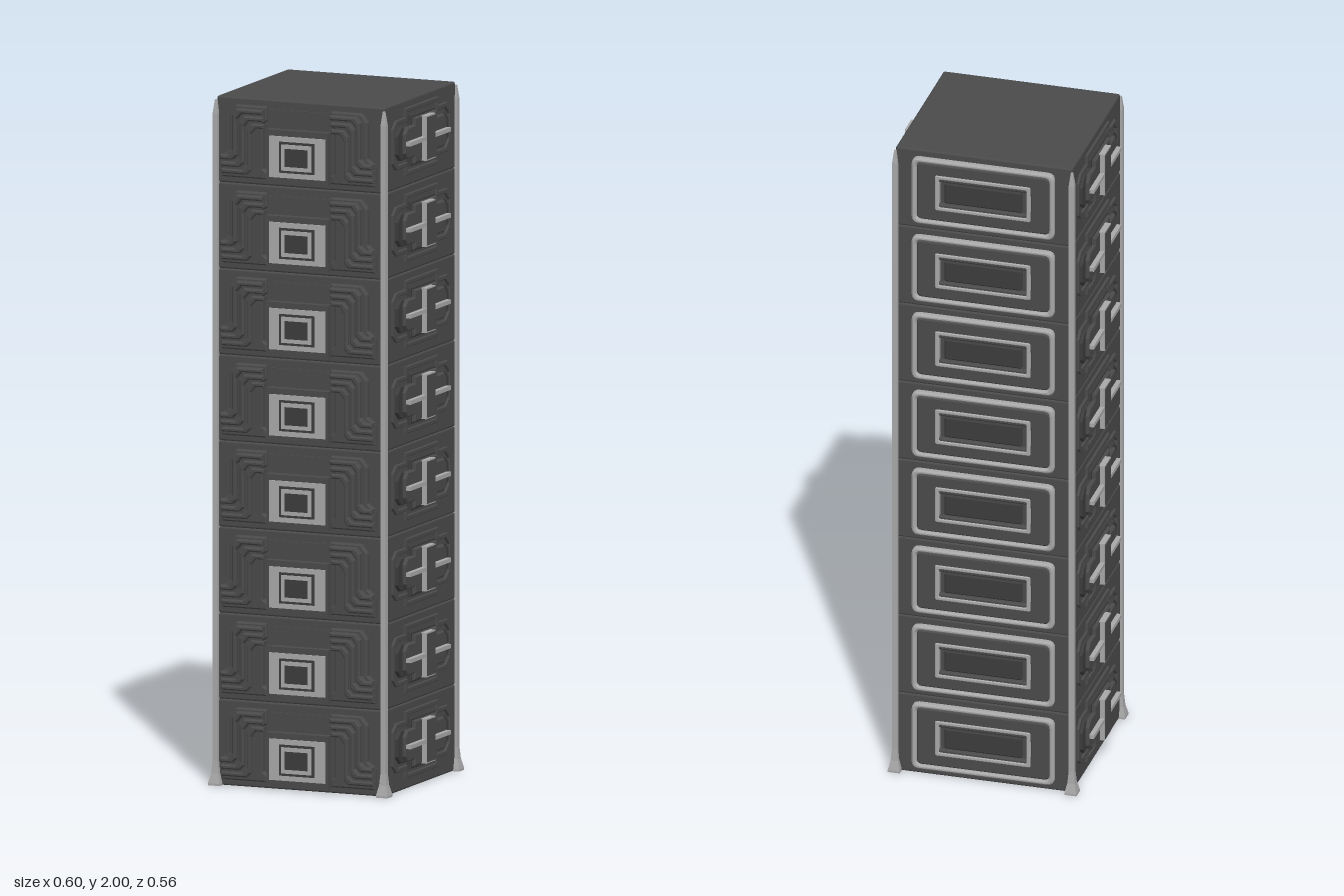
import * as THREE from 'three';
import { RoundedBoxGeometry } from 'three/addons/geometries/RoundedBoxGeometry.js';

const dark = new THREE.MeshStandardMaterial({ color: 0x4a4a4a });
const deep = new THREE.MeshStandardMaterial({ color: 0x3c3c3c });
const light = new THREE.MeshStandardMaterial({ color: 0xa8a8a8 });
const post = new THREE.MeshStandardMaterial({ color: 0xa8a8a8, flatShading: true });

const STOREYS = 8, H = 0.25, HALF_X = 0.263, FRONT = 0.24, BACK = -0.26;
const MID_Z = (FRONT + BACK) / 2;

function add(parent, name, geometry, material) {
  const mesh = new THREE.Mesh(geometry, material);
  mesh.name = name;
  parent.add(mesh);
  return mesh;
}

// Box centred on x, y whose back is at z0 and front at z1
function block(parent, name, x, y, w, h, z0, z1, material) {
  add(parent, name, new THREE.BoxGeometry(w, h, z1 - z0), material).position.set(x, y, (z0 + z1) / 2);
}

// Outline standing proud of a wall up to depth z1, with a chamfered edge
function slab(parent, name, shape, z1, material, bevel = 0.004) {
  const geometry = new THREE.ExtrudeGeometry(shape, {
    depth: z1 - bevel, bevelThickness: bevel, bevelSize: bevel, bevelOffset: -bevel, bevelSegments: 1, curveSegments: 4,
  });
  return add(parent, name, geometry, material);
}

const outline = (points) => new THREE.Shape(points.map(([x, y]) => new THREE.Vector2(x, y)));

// Rounded rectangle about (0, y)
function roundRect(target, w, h, r, y) {
  const a = w / 2, b = h / 2;
  target.moveTo(-a + r, y - b).lineTo(a - r, y - b).quadraticCurveTo(a, y - b, a, y - b + r)
    .lineTo(a, y + b - r).quadraticCurveTo(a, y + b, a - r, y + b)
    .lineTo(-a + r, y + b).quadraticCurveTo(-a, y + b, -a, y + b - r)
    .lineTo(-a, y - b + r).quadraticCurveTo(-a, y - b, -a + r, y - b);
  return target;
}

function frame(w, h, t, r, y) {
  const shape = roundRect(new THREE.Shape(), w, h, r, y);
  shape.holes.push(roundRect(new THREE.Path(), w - 2 * t, h - 2 * t, r * 0.7, y));
  return shape;
}

// Stepped cross from the points of one quadrant, mirrored about (0, y)
function steppedCross(quadrant, y, inset = 0) {
  const q = quadrant.map(([a, b]) => [a - inset, b - inset]);
  const r = [...q].reverse();
  return outline([
    ...q, ...r.map(([a, b]) => [-a, b]), ...q.map(([a, b]) => [-a, -b]), ...r.map(([a, b]) => [a, -b]),
  ].map(([a, b]) => [a, b + y]));
}

function frontWall() {
  const wall = new THREE.Group();
  wall.name = 'frontWall';
  // Central panel with nested window frames
  block(wall, 'windowPanel', 0, 0.09, 0.192, 0.155, 0, 0.022, dark);
  block(wall, 'lintel', 0, 0.205, 0.2, 0.035, 0, 0.004, dark);
  [['windowSurround', 0.176, 0.12, light], ['windowGroove', 0.11, 0.09, deep],
    ['windowRim', 0.094, 0.076, light], ['windowPane', 0.072, 0.052, deep]]
    .forEach(([name, w, h, material], i) => block(wall, name, 0, 0.09, w, h, 0, 0.026 + i * 0.0025, material));

  // Stepped brackets on both sides, each with three bent ribs
  for (const s of [-1, 1]) {
    const mirror = (points) => outline(points.map(([x, y]) => [s * x, y]));
    slab(wall, 'bracketPlate', mirror([[0.1, 0.02], [0.24, 0.02], [0.24, 0.08], [0.215, 0.1],
      [0.215, 0.205], [0.195, 0.23], [0.1, 0.23], [0.1, 0.19], [0.112, 0.18], [0.112, 0.05], [0.1, 0.04]]), 0.016, dark);
    for (let i = 0; i < 3; i++) {
      const d = 0.021 * i, w = 0.013;
      const path = [[0.105, 0.222 - d], [0.186 - d, 0.222 - d], [0.2 - d, 0.205 - d],
        [0.2 - d, 0.1 - d], [0.214 - d, 0.086 - d], [0.238, 0.086 - d]];
      const back = path.map(([x, y], k) => [k === 0 || k === 5 ? x : x - w, y - w]).reverse();
      slab(wall, 'bracketRib', mirror([...path, ...back]), 0.036 - 0.005 * i, dark);
    }
  }
  return wall;
}

function sideWall() {
  const wall = new THREE.Group();
  wall.name = 'sideWall';
  const y = 0.13;
  const outer = [[0.205, 0.05], [0.18, 0.072], [0.115, 0.072], [0.115, 0.098]];
  const inner = [[0.147, 0.028], [0.13, 0.046], [0.078, 0.046], [0.078, 0.066]];
  // Raised stepped border around two stacked crosses
  const border = steppedCross(outer, y);
  border.holes.push(new THREE.Path(steppedCross(outer, y, 0.013).getPoints()));
  slab(wall, 'crossBorder', border, 0.007, dark, 0.002);
  slab(wall, 'crossPlate', steppedCross(outer, y, 0.024), 0.01, deep, 0.003);
  slab(wall, 'innerCross', steppedCross(inner, y), 0.02, dark);
  // Crossing bars
  block(wall, 'horizontalBar', 0, y, 0.286, 0.012, 0, 0.034, light);
  block(wall, 'verticalBarRim', 0, y, 0.064, 0.13, 0, 0.034, light);
  block(wall, 'verticalBarFace', 0, y, 0.056, 0.122, 0, 0.036, dark);
  return wall;
}

function backWall() {
  const wall = new THREE.Group();
  wall.name = 'backWall';
  const y = 0.125;
  slab(wall, 'outerFrame', frame(0.424, 0.21, 0.014, 0.022, y), 0.017, light, 0.005);
  slab(wall, 'panelBorder', frame(0.394, 0.18, 0.055, 0.015, y), 0.013, dark);
  slab(wall, 'innerFrame', frame(0.284, 0.112, 0.012, 0.006, y), 0.016, light, 0.003);
  slab(wall, 'innerPanel', roundRect(new THREE.Shape(), 0.23, 0.064, 0.005, y), 0.011, deep);
  return wall;
}

export function createModel() {
  const model = new THREE.Group();
  model.name = 'tower';

  // One storey, repeated upwards
  const storey = new THREE.Group();
  storey.name = 'storey';
  add(storey, 'storeyBody', new RoundedBoxGeometry(2 * HALF_X, H, FRONT - BACK, 2, 0.006), dark)
    .position.set(0, H / 2, MID_Z);
  const front = frontWall();
  front.position.z = FRONT;
  const back = backWall();
  back.position.z = BACK;
  back.rotation.y = Math.PI;
  storey.add(front, back);
  for (const s of [-1, 1]) {
    const side = sideWall();
    side.position.set(s * HALF_X, 0, MID_Z);
    side.rotation.y = s * Math.PI / 2;
    storey.add(side);
  }
  for (let i = 0; i < STOREYS; i++) {
    const copy = storey.clone();
    copy.position.y = i * H;
    model.add(copy);
  }

  // Square corner posts with flared feet and pointed tops
  const profile = [[0, 0], [0.018, 0], [0.018, 0.006], [0.011, 0.035], [0.008, 0.07], [0.008, 1.95], [0.003, 1.99], [0, 1.99]];
  const postGeometry = new THREE.LatheGeometry(profile.map(([r, y]) => new THREE.Vector2(r * Math.SQRT2, y)), 4);
  postGeometry.rotateY(Math.PI / 4);
  for (const x of [-HALF_X, HALF_X]) {
    for (const z of [FRONT + 0.003, BACK - 0.002]) {
      add(model, 'cornerPost', postGeometry, post).position.set(x, 0, z);
    }
  }
  return model;
}
